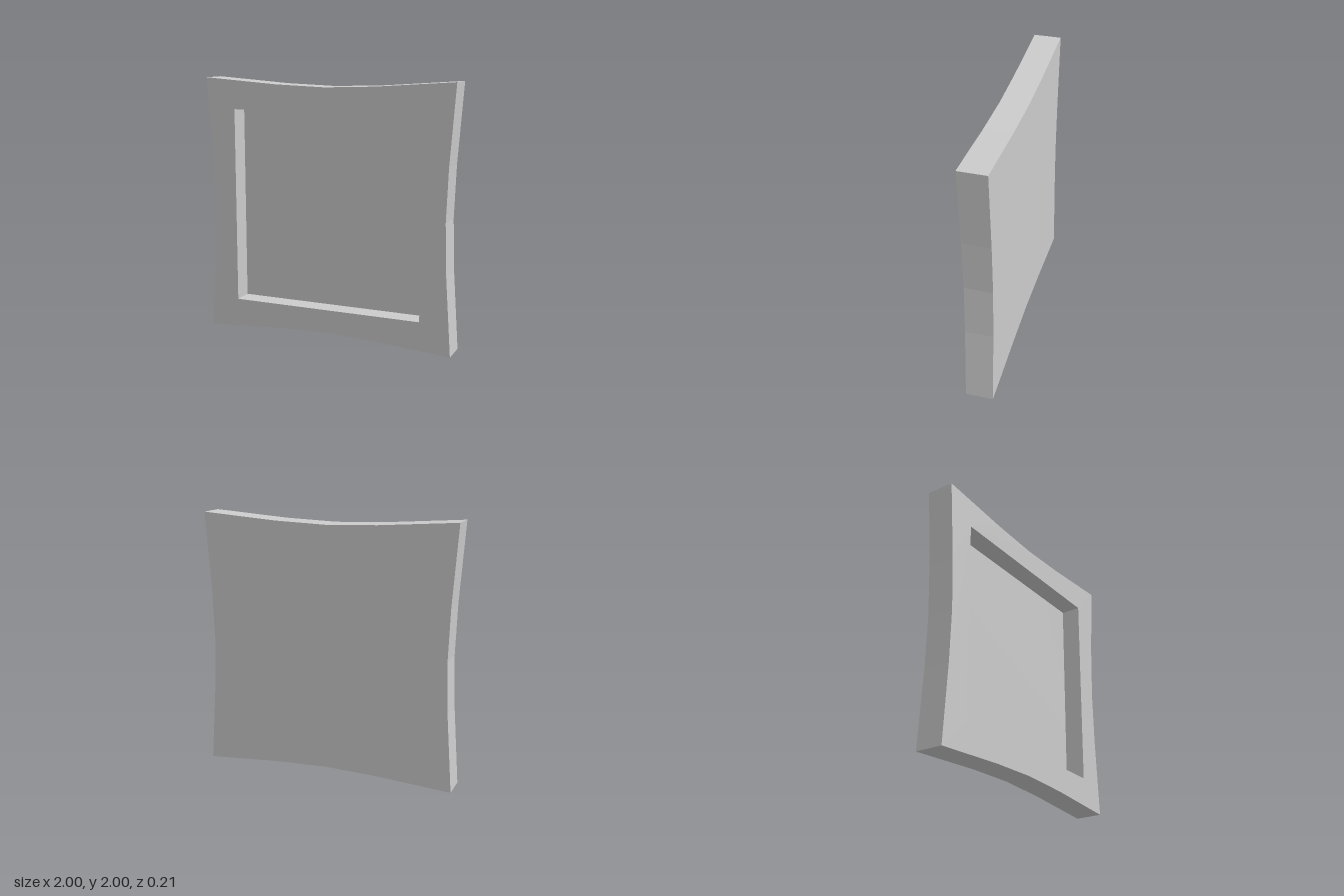
import * as THREE from 'three';

const HALF_DEPTH = 0.105;
const RECESS_DEPTH = 0.155;
const RECESS_HALF = 0.76;

// Square outline, counter-clockwise, whose four sides bow gently inwards
function outline() {
  const side = [[1, 1], [0.4, 0.957], [0, 0.943], [-0.4, 0.957]];
  const points = [];
  for (let i = 0; i < 4; i++) {
    for (const [x, y] of side) {
      points.push(new THREE.Vector2(x, y).rotateAround(new THREE.Vector2(), i * Math.PI / 2));
    }
  }
  return new THREE.Shape(points);
}

function slab(name, shape, z, depth, material) {
  const geometry = new THREE.ExtrudeGeometry(shape, { depth, bevelEnabled: false });
  const mesh = new THREE.Mesh(geometry, material);
  mesh.name = name;
  mesh.position.set(0, 1, z);
  return mesh;
}

export function createModel() {
  const group = new THREE.Group();
  group.name = 'recessedPanel';
  const material = new THREE.MeshStandardMaterial({ color: 0xcccccc, flatShading: true });
  const floorZ = HALF_DEPTH - RECESS_DEPTH;

  // Solid back, its front face being the floor of the recess
  group.add(slab('backPanel', outline(), -HALF_DEPTH, floorZ + HALF_DEPTH, material));

  // Front border around the square recess
  const border = outline();
  const r = RECESS_HALF;
  const corners = [[-r, -r], [-r, r], [r, r], [r, -r]];
  border.holes.push(new THREE.Path(corners.map(([x, y]) => new THREE.Vector2(x, y))));
  group.add(slab('frontFrame', border, floorZ, RECESS_DEPTH, material));

  return group;
}
